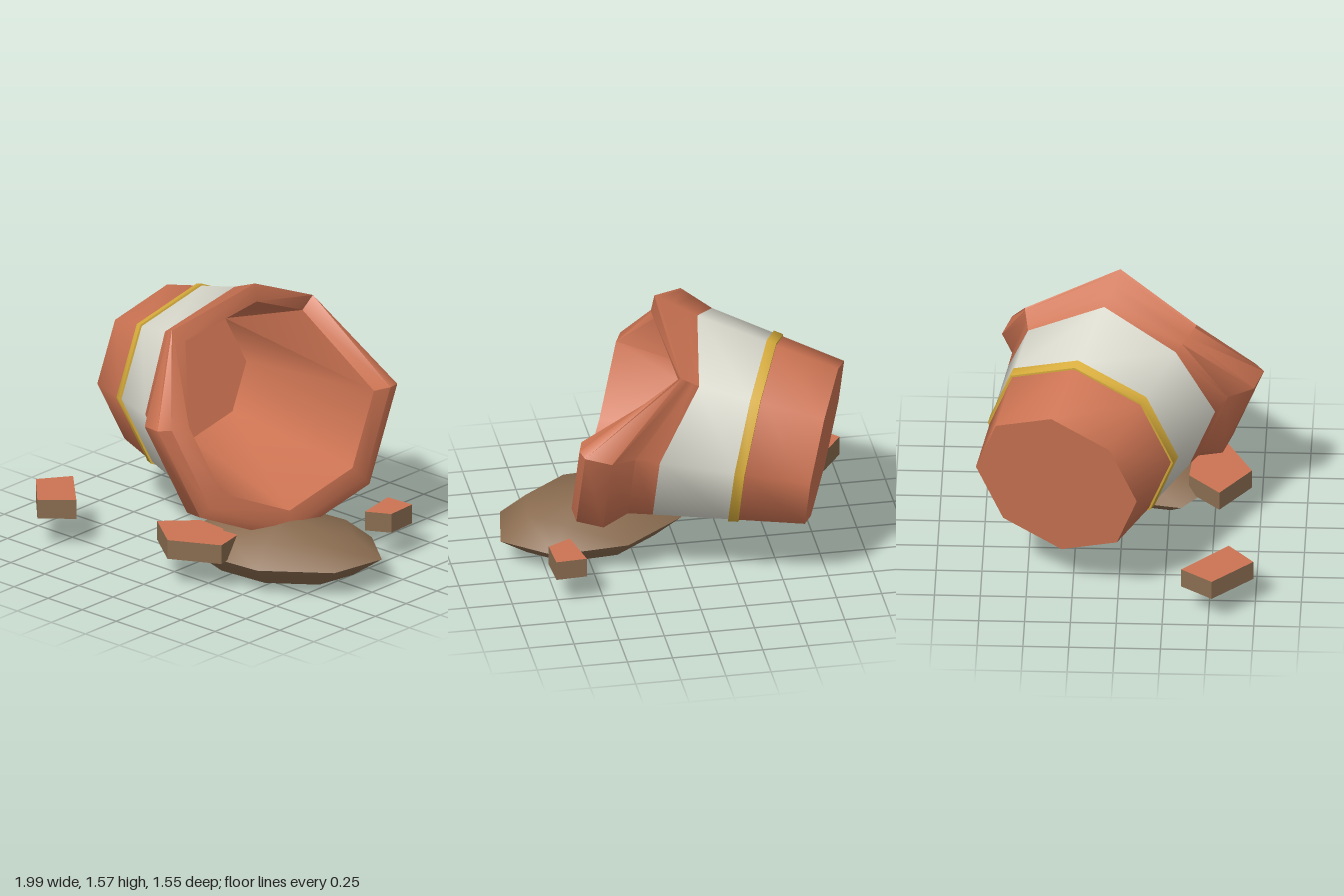
import * as THREE from 'three';
import { toCreasedNormals } from 'three/addons/utils/BufferGeometryUtils.js';

const SIDES = 8;

const material = (name, color) => {
  const m = new THREE.MeshStandardMaterial({ color });
  m.name = name;
  return m;
};

// Radius of the tapering pot wall at height t along its axis
const wall = (t) => 0.472 + 0.166 * t;

// A level ring: the same height and radius on every side
const ring = (t, r) => Array.from({ length: SIDES }, () => [t, r]);

// Skin a list of rings, each holding [height, radius] per side
function loft(rings) {
  const point = (i, k) => {
    const [t, r] = rings[i][k % SIDES];
    const a = ((k % SIDES) / SIDES) * Math.PI * 2;
    return [r * Math.cos(a), t, r * Math.sin(a)];
  };
  const pos = [];
  for (let i = 0; i < rings.length - 1; i++) {
    for (let k = 0; k < SIDES; k++) {
      const a = point(i, k), b = point(i, k + 1), c = point(i + 1, k + 1), d = point(i + 1, k);
      if (rings[i][k][1] > 0) pos.push(...a, ...d, ...b);
      if (rings[i + 1][k][1] > 0) pos.push(...b, ...d, ...c);
    }
  }
  const g = new THREE.BufferGeometry();
  g.setAttribute('position', new THREE.Float32BufferAttribute(pos, 3));
  return toCreasedNormals(g, 0.86);
}

export function createModel() {
  const clay = material('terracotta', 0xcd7453);
  const white = material('off white glaze', 0xdcdbcf);
  const yellow = material('yellow glaze', 0xd9ae3c);
  const earth = material('brown earth', 0x8a6c50);

  const model = new THREE.Group();
  model.name = 'brokenPot';
  const add = (parent, name, geometry, mat) => {
    const mesh = new THREE.Mesh(geometry, mat);
    mesh.name = name;
    parent.add(mesh);
    return mesh;
  };

  // Pot lying on its side, mouth toward +x and a little up and forward
  const pot = new THREE.Group();
  pot.name = 'pot';
  const axis = new THREE.Vector3(0.929, 0.16, 0.334).normalize();
  const side = new THREE.Vector3(-0.338, 0, 0.941).normalize();
  const up = new THREE.Vector3().crossVectors(side, axis).normalize();
  side.crossVectors(axis, up);
  pot.quaternion.setFromRotationMatrix(new THREE.Matrix4().makeBasis(side, axis, up));
  pot.position.set(-0.76, 0.74, -0.335);
  model.add(pot);

  // Heights of the chipped rim and of the white band's upper edge, per side
  const rimTop = [1.262, 0.965, 1.065, 0.81, 1.265, 1.265, 1.265, 1.262];
  const bandTop = [0.82, 0.77, 0.81, 0.7, 0.82, 0.82, 0.82, 0.82];
  const bandEdge = bandTop.map((t) => [t, wall(t)]);

  add(pot, 'potBase', loft([ring(0, 0), ring(0, wall(0)), ring(0.37, wall(0.37))]), clay);
  add(pot, 'yellowStripe', loft([
    ring(0.357, wall(0.357)), ring(0.358, wall(0.358) + 0.012),
    ring(0.412, wall(0.412) + 0.012), ring(0.413, wall(0.413)),
  ]), yellow);
  add(pot, 'whiteBand', loft([ring(0.405, wall(0.405)), bandEdge]), white);

  // Rim collar, thinned out where it is chipped: [share of height, whole radius]
  const collar = [[0.3, 0.632], [0.55, 0.74], [0.89, 0.74], [0.985, 0.675]];
  const collarRings = collar.map(([f, r]) => rimTop.map((h, k) => {
    const chipped = h < 1.2;
    const foot = wall(bandTop[k]);
    return [bandTop[k] + (h - bandTop[k]) * f, chipped ? foot + (0.672 - foot) * f : r];
  }));
  const lip = rimTop.map((h) => [h, 0.57]);
  add(pot, 'rimAndInside', loft([
    bandEdge, ...collarRings, lip, ring(0.15, 0.37), ring(0.15, 0),
  ]), clay);

  // Flat stone under the mouth
  const stoneShape = new THREE.SphereGeometry(1, 8, 4);
  stoneShape.scale(0.573, 0.163, 0.4);
  const stone = add(model, 'stone', toCreasedNormals(stoneShape, 0.86), earth);
  stone.rotation.y = 0.366;
  stone.position.set(0.455, 0.163, 0.115);

  // Loose shards: clay faces with earthy broken edges, outlines in x and z
  const shards = {
    leftoverShard: [[-0.88, 0.35], [-0.63, 0.6], [-0.79, 0.74], [-1, 0.52]],
    backShard: [[0.65, -0.33], [0.6, -0.57], [0.77, -0.58], [0.78, -0.4]],
    frontShard: [[-0.1, 0.53], [0.13, 0.7], [0.4, 0.56], [0.36, 0.38], [0.07, 0.36]],
  };
  for (const [name, outline] of Object.entries(shards)) {
    const shape = new THREE.Shape(outline.map(([x, z]) => new THREE.Vector2(x, -z)));
    const g = new THREE.ExtrudeGeometry(shape, { depth: 0.11, bevelEnabled: false });
    g.rotateX(-Math.PI / 2);
    g.translate(0, 0.17, 0);
    add(model, name, g, [clay, earth]);
  }

  return model;
}
